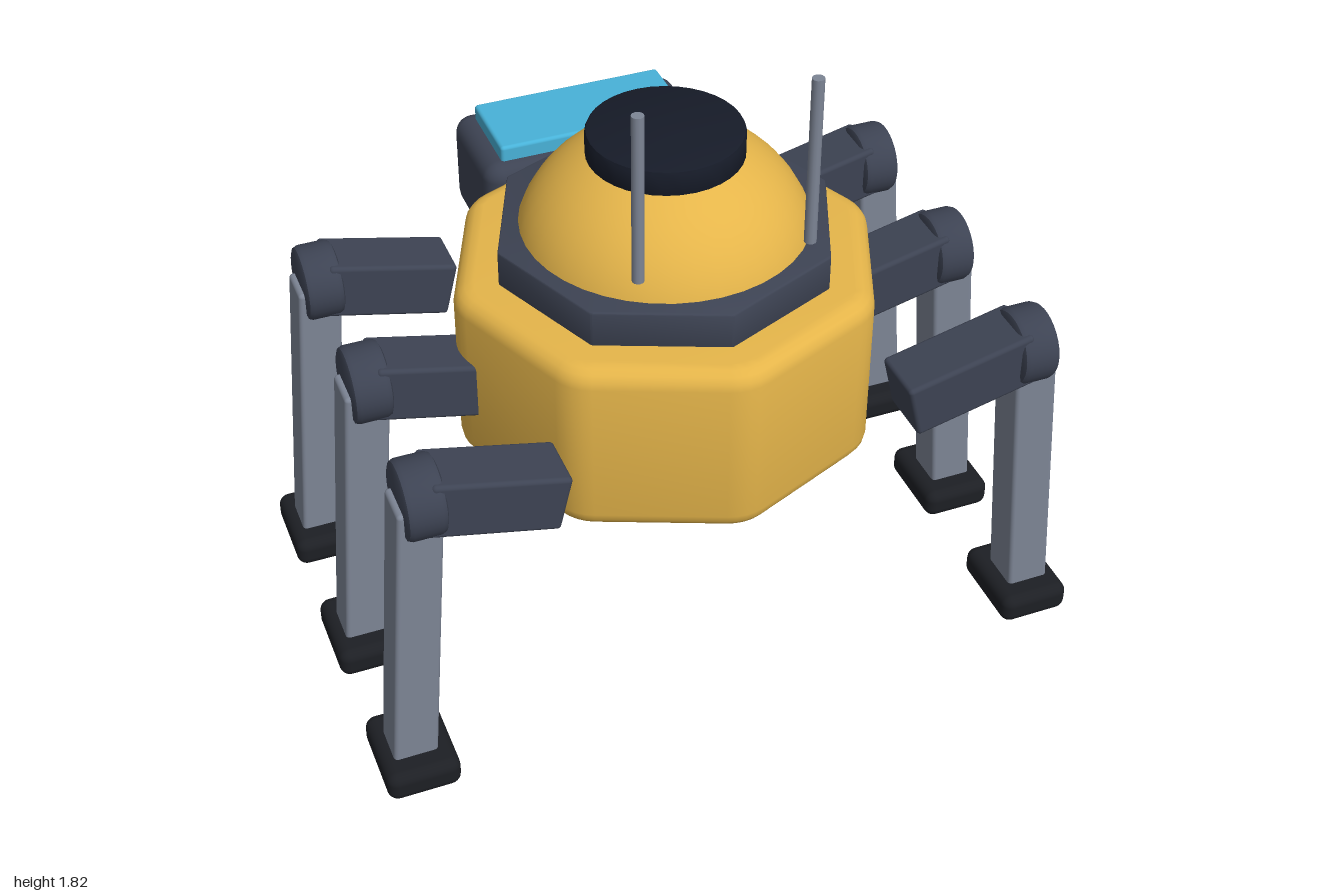
import * as THREE from 'three';
import { RoundedBoxGeometry } from 'three/addons/geometries/RoundedBoxGeometry.js';
import { toCreasedNormals } from 'three/addons/utils/BufferGeometryUtils.js';

const paint = (color) => new THREE.MeshStandardMaterial({ color });
const yellow = paint(0xe5b54a);
const slate = paint(0x3d4353);
const black = paint(0x161b28);
const rubber = paint(0x1d1f24);
const steel = paint(0x7d8595);
const cyan = paint(0x48b2d8);

const CENTRE_Z = 0.12;

function add(parent, name, geometry, material, x = 0, y = 0, z = 0) {
  const mesh = new THREE.Mesh(geometry, material);
  mesh.name = name;
  mesh.position.set(x, y, z);
  parent.add(mesh);
  return mesh;
}

const roundedBox = (w, h, d, r) => new RoundedBoxGeometry(w, h, d, 3, r);

// Upright octagonal block with softened corners and rims, base at y = 0
function octagonBlock(radius, height, bevel, soften) {
  const corner = (i) => new THREE.Vector2(Math.cos(i * Math.PI / 4), Math.sin(i * Math.PI / 4))
    .multiplyScalar(radius - bevel);
  const shape = new THREE.Shape();
  for (let i = 0; i < 8; i++) {
    const c = corner(i);
    const a = c.clone().lerp(corner(i - 1), soften);
    const b = c.clone().lerp(corner(i + 1), soften);
    if (i === 0) shape.moveTo(a.x, a.y);
    else shape.lineTo(a.x, a.y);
    shape.quadraticCurveTo(c.x, c.y, b.x, b.y);
  }
  shape.closePath();
  const geometry = new THREE.ExtrudeGeometry(shape, {
    depth: height - 2 * bevel, bevelThickness: bevel, bevelSize: bevel, bevelSegments: 4, curveSegments: 4,
  });
  geometry.translate(0, 0, bevel).rotateX(-Math.PI / 2);
  return toCreasedNormals(geometry, 0.6);
}

// Short drum with slightly rounded rims, centred on the origin along y
function drum(radius, height, bevel, sides) {
  const h = height / 2;
  const k = bevel * 0.3;
  const profile = [
    [0, -h], [radius - bevel, -h], [radius - k, -h + k], [radius, -h + bevel],
    [radius, h - bevel], [radius - k, h - k], [radius - bevel, h], [0, h],
  ].map(([x, y]) => new THREE.Vector2(x, y));
  return toCreasedNormals(new THREE.LatheGeometry(profile, sides), 0.7);
}

// Box running between two points in the x-y plane
function limb(parent, name, from, to, width, depth, bevel, material) {
  const dx = to[0] - from[0];
  const dy = to[1] - from[1];
  const mesh = add(parent, name, roundedBox(Math.hypot(dx, dy), width, depth, bevel), material,
    (from[0] + to[0]) / 2, (from[1] + to[1]) / 2);
  mesh.rotation.z = Math.atan2(dy, dx);
}

// Leg on the +x side; turning it half round gives the other side
function makeLeg(name) {
  const leg = new THREE.Group();
  leg.name = name;
  limb(leg, 'upperLeg', [0.475, 0.84], [0.83, 0.925], 0.16, 0.16, 0.012, slate);
  const knee = add(leg, 'knee', drum(0.105, 0.105, 0.016, 32), slate, 0.833, 0.918);
  knee.rotation.z = Math.PI / 2;
  limb(leg, 'lowerLeg', [0.841, 0.915], [0.907, 0.05], 0.12, 0.12, 0.012, steel);
  add(leg, 'foot', roundedBox(0.2, 0.088, 0.254, 0.03), rubber, 0.9, 0.044);
  return leg;
}

export function createModel() {
  const model = new THREE.Group();
  model.name = 'walkingRobot';

  // Hull, collar, dome and hatch
  add(model, 'hull', octagonBlock(0.585, 0.51, 0.05, 0.09), yellow, 0, 0.62, CENTRE_Z);
  add(model, 'collar', octagonBlock(0.46, 0.12, 0.006, 0.01), slate, 0, 1.11, CENTRE_Z);
  const dome = add(model, 'dome',
    new THREE.SphereGeometry(0.4, 40, 16, 0, Math.PI * 2, 0, Math.PI / 2), yellow, 0, 1.13, CENTRE_Z);
  dome.scale.y = 0.885;
  add(model, 'hatch', drum(0.207, 0.082, 0.01, 36), black, 0, 1.461, CENTRE_Z);

  // Rear pod with its two panels
  const pod = new THREE.Group();
  pod.name = 'rearPod';
  model.add(pod);
  add(pod, 'podCase', roundedBox(0.665, 0.29, 0.335, 0.05), slate, 0, 0.995, -0.535);
  add(pod, 'topPanel', roundedBox(0.555, 0.06, 0.245, 0.01), cyan, 0, 1.153, -0.53);
  add(pod, 'backPanel', roundedBox(0.51, 0.145, 0.05, 0.015), cyan, 0, 1.015, -0.697);

  // Antennas and three pairs of legs
  for (const side of [1, -1]) {
    const label = side > 0 ? 'left' : 'right';
    add(model, label + 'Antenna', new THREE.CylinderGeometry(0.016, 0.016, 0.47, 12), steel,
      side * 0.228, 1.588, 0.517);
    [['Front', 0.595], ['Middle', 0.12], ['Rear', -0.355]].forEach(([row, z]) => {
      const leg = makeLeg(label + row + 'Leg');
      leg.position.z = z;
      if (side < 0) leg.rotation.y = Math.PI;
      model.add(leg);
    });
  }
  return model;
}
